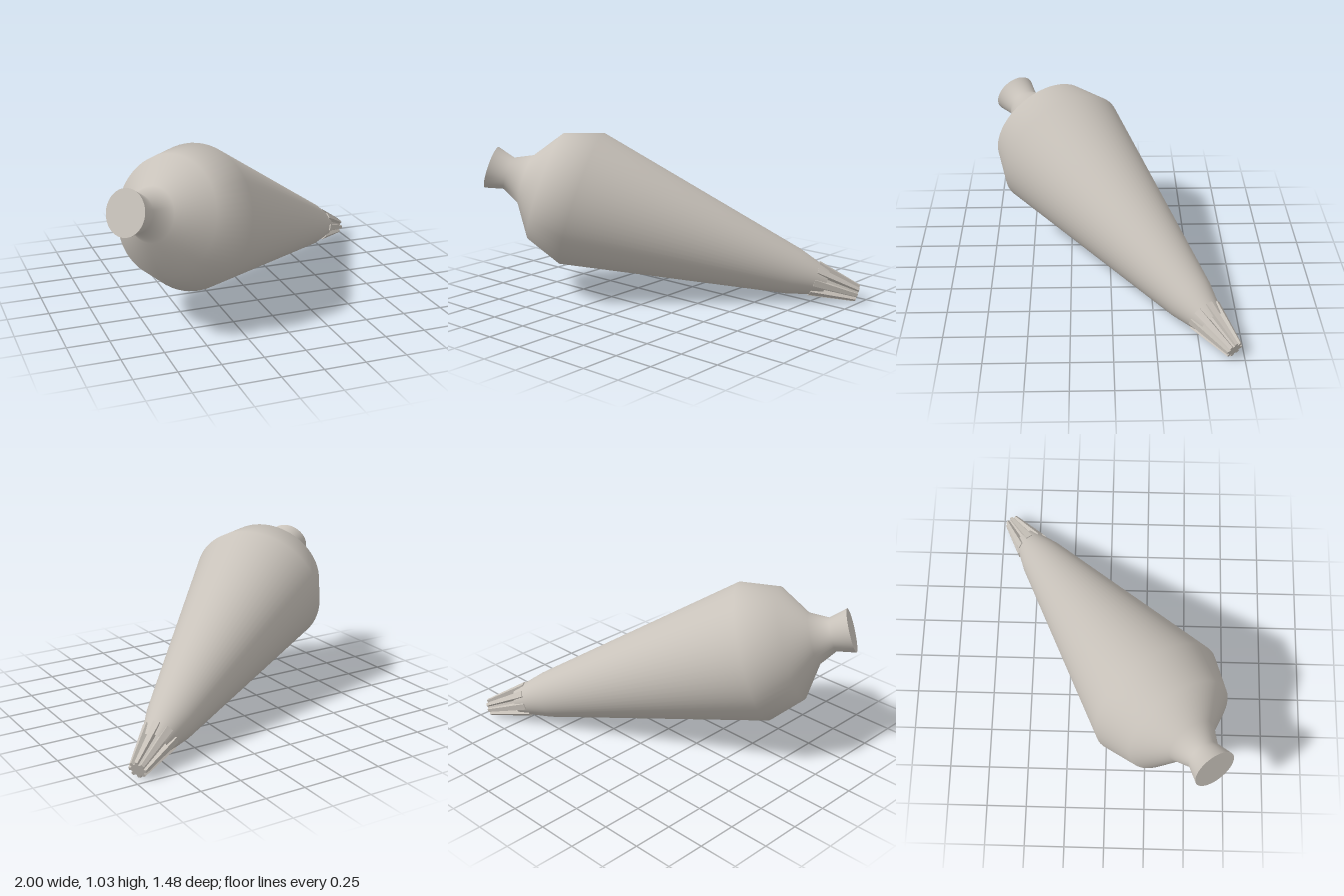
import * as THREE from 'three';

const TEETH = 8;

// Gear-like star outline of unit radius
function starShape(inner) {
  const shape = new THREE.Shape();
  for (let i = 0; i < TEETH; i++) {
    const mid = (i / TEETH) * Math.PI * 2;
    const corners = [[-0.27, inner], [-0.18, 1], [0.18, 1], [0.27, inner]];
    corners.forEach(([da, r], k) => {
      const x = Math.cos(mid + da) * r, y = Math.sin(mid + da) * r;
      if (i === 0 && k === 0) shape.moveTo(x, y);
      else shape.lineTo(x, y);
    });
  }
  shape.closePath();
  return shape;
}

export function createModel() {
  const model = new THREE.Group();
  model.name = 'pipingBag';
  const cloth = new THREE.MeshStandardMaterial({ color: 0xc8c2ba });
  cloth.name = 'warm grey';

  // Long axis, from the tied end to the nozzle tip
  const start = new THREE.Vector3(-0.915, 0.81, 0.63);
  const tip = new THREE.Vector3(0.968, 0.057, -0.69);
  const axis = tip.clone().sub(start);
  const length = axis.length();
  axis.normalize();
  const up = new THREE.Vector3(0, 1, 0).addScaledVector(axis, -axis.y).normalize();
  const side = new THREE.Vector3().crossVectors(axis, up);

  const bag = new THREE.Group();
  bag.name = 'bagAssembly';
  bag.position.copy(start);
  bag.quaternion.setFromRotationMatrix(new THREE.Matrix4().makeBasis(side, axis, up));
  model.add(bag);

  const add = (name, geometry) => {
    const mesh = new THREE.Mesh(geometry, cloth);
    mesh.name = name;
    bag.add(mesh);
    return mesh;
  };

  // Filled bag: flared end, pinched neck, swollen belly, long taper
  const profile = [
    [0.135, 0], [0.104, 0.115], [0.16, 0.23], [0.351, 0.365],
    [0.434, 0.602], [0.147, 2.0], [0.083, 2.21],
  ].map(([r, t]) => new THREE.Vector2(r, t));
  add('bagBody', new THREE.LatheGeometry(profile, 64));

  // Flat face of the flared end
  add('endCap', new THREE.CircleGeometry(0.135, 64).rotateX(Math.PI / 2));

  // Tapered star nozzle
  const depth = 0.285;
  const nozzle = new THREE.ExtrudeGeometry(starShape(0.7), { depth, bevelEnabled: false });
  const pos = nozzle.attributes.position;
  for (let i = 0; i < pos.count; i++) {
    const r = THREE.MathUtils.lerp(0.115, 0.055, pos.getZ(i) / depth);
    pos.setXY(i, pos.getX(i) * r, pos.getY(i) * r);
  }
  nozzle.rotateX(-Math.PI / 2);
  nozzle.translate(0, length - depth, 0);
  nozzle.computeVertexNormals();
  add('starNozzle', nozzle);

  return model;
}
